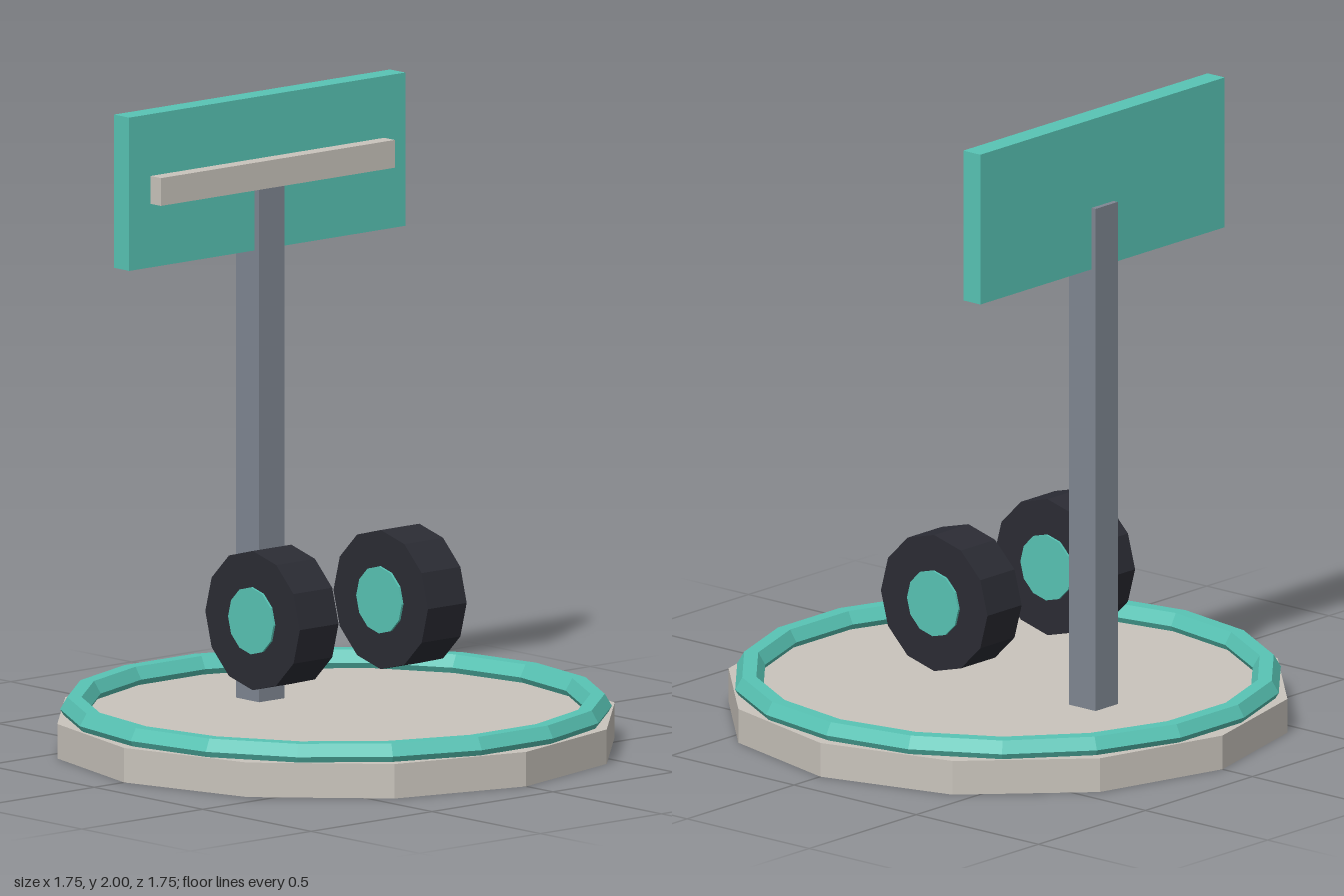
import * as THREE from 'three';

const material = (name, color) => {
  const m = new THREE.MeshStandardMaterial({ color, flatShading: true });
  m.name = name;
  return m;
};

export function createModel() {
  const stone = material('warm grey', 0xc9c4bc);
  const teal = material('teal', 0x58c4b5);
  const steel = material('steel grey', 0x7f8792);
  const rubber = material('black rubber', 0x2b2c34);

  const model = new THREE.Group();
  model.name = 'wheelDisplayStand';

  const add = (name, geometry, mat, x, y, z, parent = model) => {
    const mesh = new THREE.Mesh(geometry, mat);
    mesh.name = name;
    mesh.position.set(x, y, z);
    parent.add(mesh);
    return mesh;
  };

  // Twelve-sided base with a faceted ring on its rim
  add('base', new THREE.CylinderGeometry(0.877, 0.877, 0.108, 12), stone, 0, 0.054, 0);
  const ring = new THREE.TorusGeometry(0.806, 0.044, 6, 18).rotateX(-Math.PI / 2);
  add('rimRing', ring, teal, 0, 0.126, 0);

  // Post, sign board and the bar across its front
  add('post', new THREE.BoxGeometry(0.104, 1.617, 0.108), steel, 0, 0.9085, -0.35);
  add('signBoard', new THREE.BoxGeometry(1.142, 0.48, 0.07), teal, 0, 1.76, -0.352);
  add('signBar', new THREE.BoxGeometry(0.967, 0.087, 0.06), stone, 0, 1.763, -0.298);

  // Pair of wheels, each with a hub standing slightly proud of the tyre
  for (const side of [-1, 1]) {
    const wheel = new THREE.Group();
    wheel.name = side > 0 ? 'leftWheel' : 'rightWheel';
    wheel.position.set(side * 0.265, 0.441, 0);
    model.add(wheel);
    const disc = (r, w) => new THREE.CylinderGeometry(r, r, w, 12).rotateZ(Math.PI / 2);
    add('tyre', disc(0.218, 0.16), rubber, 0, 0, 0, wheel);
    add('hub', disc(0.105, 0.175), teal, 0, 0, 0, wheel);
  }

  return model;
}
